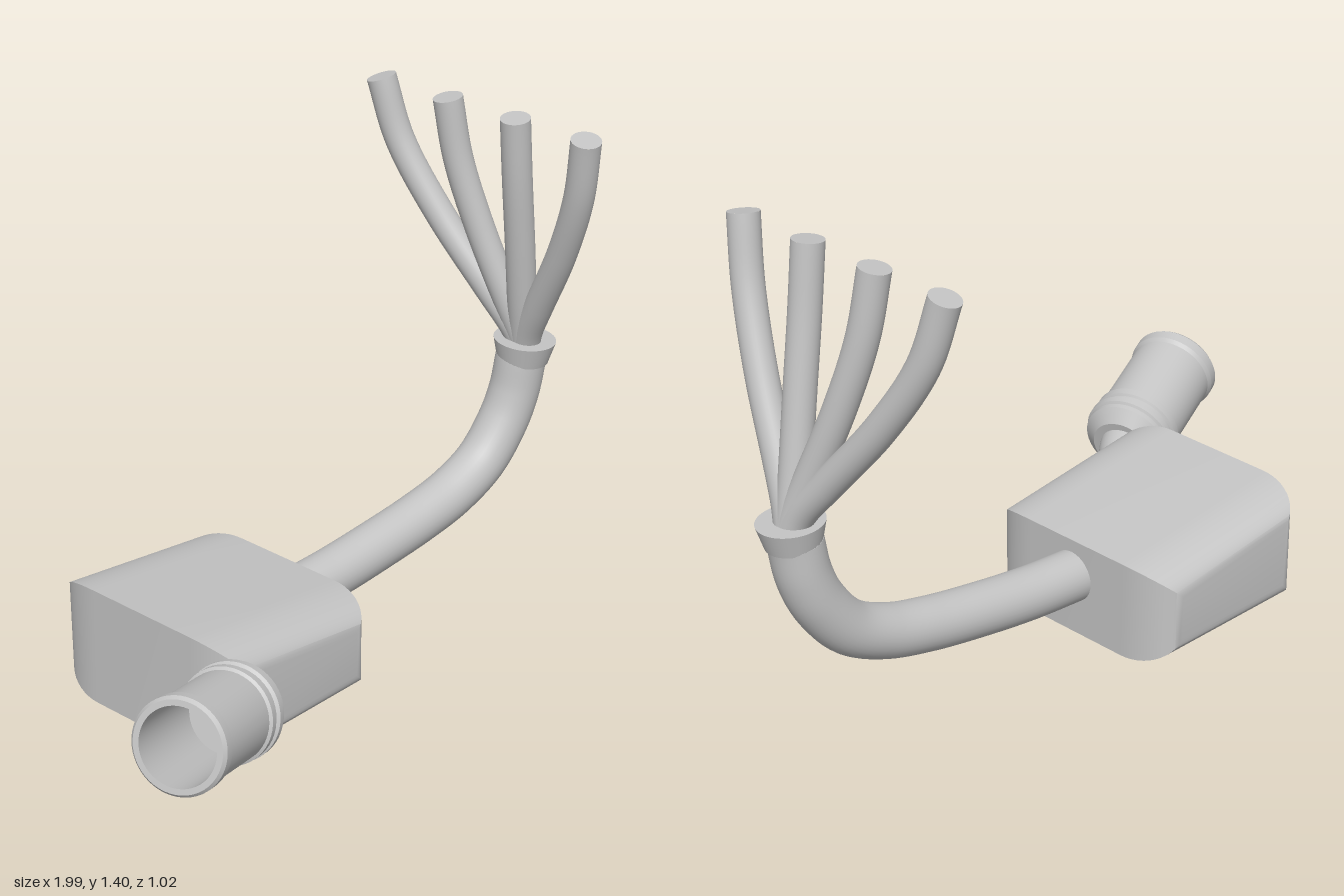
import * as THREE from 'three';
import { toCreasedNormals } from 'three/addons/utils/BufferGeometryUtils.js';

const Y = new THREE.Vector3(0, 1, 0);
const vec = (p) => new THREE.Vector3(...p);

export function createModel() {
  const model = new THREE.Group();
  model.name = 'cableAssembly';
  const grey = new THREE.MeshStandardMaterial({ color: 0xc4c4c4 });
  grey.name = 'light grey';

  const add = (name, geometry, parent = model) => {
    const mesh = new THREE.Mesh(geometry, grey);
    mesh.name = name;
    parent.add(mesh);
    return mesh;
  };

  // Round tube along a smooth path, closed with a disc at each end
  const cable = (name, points, radius, segments) => {
    const group = new THREE.Group();
    group.name = name;
    const curve = new THREE.CatmullRomCurve3(points.map(vec));
    add(name + 'Tube', new THREE.TubeGeometry(curve, segments, radius, 32), group);
    [0, 1].forEach((t) => {
      const cap = add(name + 'End', new THREE.CircleGeometry(radius, 32), group);
      const out = curve.getTangentAt(t).multiplyScalar(t ? 1 : -1);
      cap.position.copy(curve.getPointAt(t));
      cap.quaternion.setFromUnitVectors(new THREE.Vector3(0, 0, 1), out);
    });
    model.add(group);
  };

  // Wedge housing: sloped profile with softly rounded front and back
  const profile = new THREE.Shape([
    new THREE.Vector2(-0.577, 0.008),
    new THREE.Vector2(-0.01, 0.001),
    new THREE.Vector2(-0.01, 0.285),
    new THREE.Vector2(-0.577, 0.36),
  ]);
  const housing = new THREE.ExtrudeGeometry(profile, {
    depth: 0.35, bevelEnabled: true, bevelThickness: 0.155,
    bevelSize: 0.08, bevelOffset: -0.08, bevelSegments: 12, curveSegments: 1,
  });
  housing.translate(0, 0, -0.282);
  add('housing', toCreasedNormals(housing, 0.6));

  // Main cable bending upward
  cable('mainCable', [
    [-0.03, 0.173, -0.094], [0.15, 0.18, -0.086], [0.33, 0.198, -0.077], [0.5, 0.222, -0.067],
    [0.64, 0.255, -0.058], [0.76, 0.315, -0.049], [0.845, 0.42, -0.038], [0.882, 0.51, -0.03],
    [0.899, 0.61, -0.023],
  ], 0.074, 64);

  // Flared collar where the cable splits
  const collar = add('collar', new THREE.CylinderGeometry(0.091, 0.074, 0.066, 40));
  collar.position.set(0.904, 0.633, -0.018);
  collar.quaternion.setFromUnitVectors(Y, new THREE.Vector3(0.06, 1, 0.05).normalize());

  // Four wires fanning out: height, x, share of the final spread
  const fan = [
    [0.64, 0.907, 0], [0.7, 0.896, 0.07], [0.8, 0.877, 0.25], [1.0, 0.843, 0.61],
    [1.2, 0.811, 0.88], [1.385, 0.789, 1],
  ];
  [0.26, 0.015, -0.227, -0.473].forEach((zEnd, i) => {
    const z0 = -0.017;
    cable('wire' + (i + 1), fan.map(([y, x, f]) => [x, y, z0 + (zEnd - z0) * f]), 0.043, 40);
  });

  // Hollow socket with lip, ribs and tapered base: radius, distance from the mouth
  const socketProfile = [
    [0, 0.3], [0.106, 0.3], [0.106, 0], [0.122, 0], [0.13, 0.01], [0.13, 0.04], [0.123, 0.052],
    [0.123, 0.285], [0.131, 0.29], [0.131, 0.312], [0.125, 0.317], [0.125, 0.327],
    [0.134, 0.332], [0.134, 0.352], [0.127, 0.357], [0.127, 0.372], [0.09, 0.405], [0, 0.405],
  ].map(([r, s]) => new THREE.Vector2(r, s));
  const socket = add('socket', toCreasedNormals(new THREE.LatheGeometry(socketProfile, 48), 0.45));
  socket.position.set(-0.942, 0.338, 0.39);
  socket.quaternion.setFromUnitVectors(Y, new THREE.Vector3(0.911, -0.26, -0.318).normalize());

  // Bent neck joining the socket to the housing
  cable('socketNeck', [
    [-0.61, 0.243, 0.275], [-0.565, 0.223, 0.245], [-0.53, 0.196, 0.2], [-0.48, 0.165, 0.12],
  ], 0.073, 20);

  return model;
}
